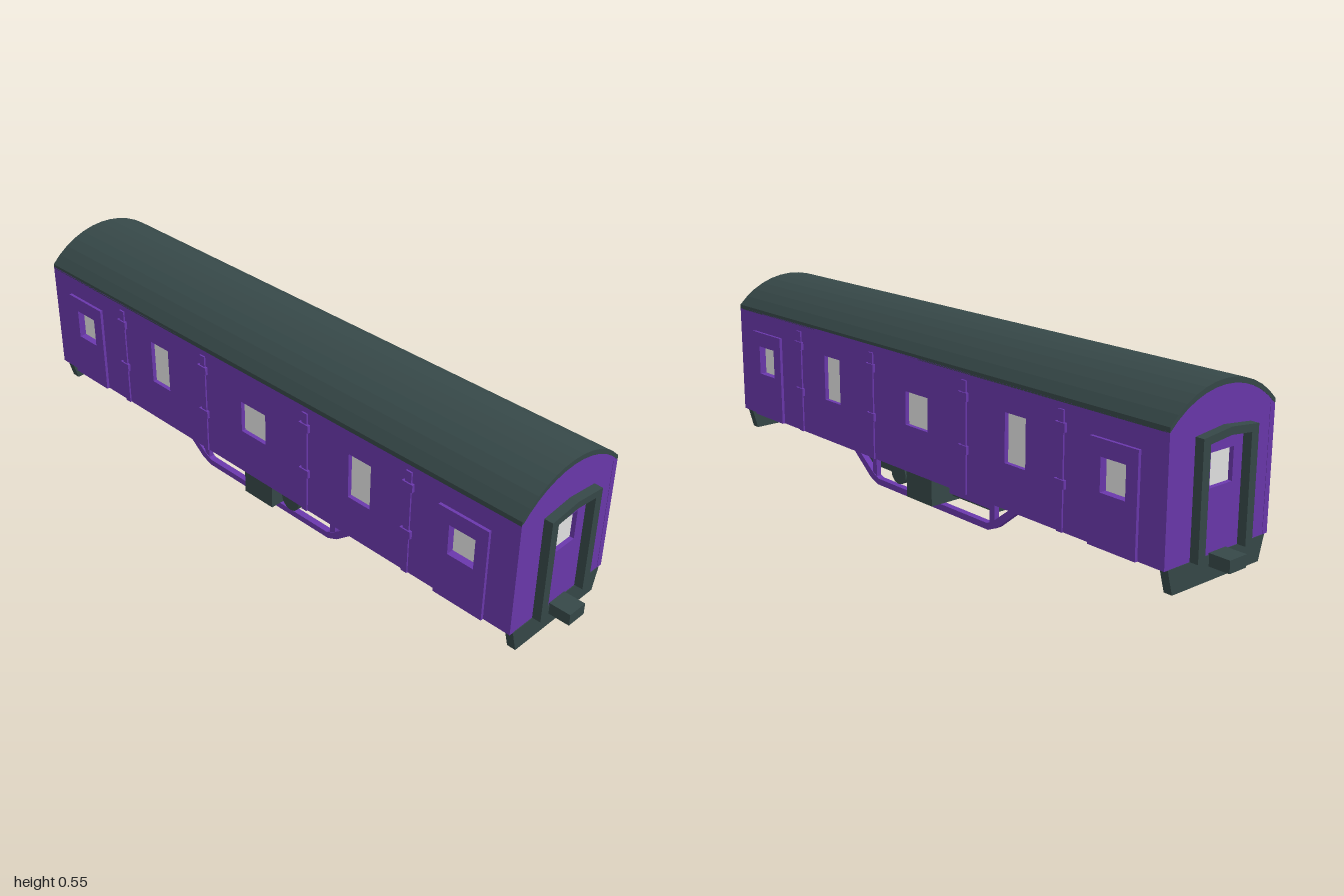
import * as THREE from 'three';

const mat = (name, color) => new THREE.MeshStandardMaterial({ name, color });

export function createModel() {
  const purple = mat('purplePaint', 0x6a38ac);
  const dark = mat('darkSlate', 0x364848);
  const pale = mat('paleGlass', 0xe4e4e4);
  const model = new THREE.Group();
  model.name = 'railwayCarriage';
  const car = new THREE.Group();
  car.name = 'carriage';
  car.position.x = -0.003;
  model.add(car);

  const add = (parent, name, geo, material, x = 0, y = 0, z = 0) => {
    const m = new THREE.Mesh(geo, material);
    m.name = name;
    m.position.set(x, y, z);
    parent.add(m);
    return m;
  };
  // box given by its limits on each axis
  const box = (parent, name, material, x0, x1, y0, y1, z0, z1) =>
    add(parent, name, new THREE.BoxGeometry(x1 - x0, y1 - y0, z1 - z0), material,
      (x0 + x1) / 2, (y0 + y1) / 2, (z0 + z1) / 2);
  const poly = (pts) => new THREE.Shape(pts.map(([x, y]) => new THREE.Vector2(x, y)));
  const rect = (x0, x1, y0, y1) => poly([[x0, y0], [x1, y0], [x1, y1], [x0, y1]]);
  const plate = (shape, depth) =>
    new THREE.ExtrudeGeometry(shape, { depth, bevelEnabled: false });

  const W = 0.196, L = 0.935, FLOOR = 0.105;

  // points of a circular arc through the eaves and the crown
  const arc = (half, eave, crown, n = 12) => {
    const h = crown - eave, r = (half * half + h * h) / (2 * h);
    return Array.from({ length: n + 1 }, (_, i) => {
      const a = Math.asin(half / r) * (1 - 2 * i / n);
      return [r * Math.sin(a), crown - r + r * Math.cos(a)];
    });
  };

  // curved roof slab
  const roofShape = poly([...arc(W, 0.461, 0.545), ...arc(W, 0.447, 0.53).reverse()]);
  add(car, 'roof', plate(roofShape, 2 * L), dark, 0, 0, -L);
  box(car, 'floor', dark, -W + 0.002, W - 0.002, FLOOR - 0.001, FLOOR + 0.01, -L + 0.002, L - 0.002);

  // side walls: local x runs along the carriage, local z points outward
  const windows = [
    [-0.77, 0.042, 0.25, 0.342], [0.77, 0.042, 0.25, 0.342],
    [-0.413, 0.04, 0.235, 0.375], [0.413, 0.04, 0.235, 0.375],
    [0, 0.05, 0.245, 0.345],
  ];
  for (const s of [1, -1]) {
    const side = new THREE.Group();
    side.name = s > 0 ? 'leftSide' : 'rightSide';
    side.rotation.y = s * Math.PI / 2;
    car.add(side);
    const wall = rect(-L, L, FLOOR, 0.452);
    for (const [c, h, y0, y1] of windows) {
      wall.holes.push(rect(c - h, c + h, y0, y1));
      box(side, 'windowPane', pale, c - h - 0.004, c + h + 0.004, y0 - 0.004, y1 + 0.004, W - 0.02, W - 0.013);
    }
    add(side, 'sideWall', plate(wall, 0.018), purple, 0, 0, W - 0.018);
    // doors
    for (const c of [-0.77, 0.77]) {
      const door = rect(c - 0.08, c + 0.08, FLOOR, 0.388);
      door.holes.push(rect(c - 0.042, c + 0.042, 0.25, 0.342));
      add(side, 'sideDoor', plate(door, 0.009), purple, 0, 0, W);
    }
    // upright ribs with collars
    for (const c of [-0.585, -0.21, 0.21, 0.585]) {
      box(side, 'rib', purple, c - 0.01, c + 0.01, FLOOR, 0.43, W - 0.005, W + 0.005);
      for (const y of [0.235, 0.385])
        box(side, 'ribCollar', purple, c - 0.018, c + 0.018, y - 0.012, y + 0.012, W - 0.005, W + 0.009);
    }
  }

  // end walls, gangways and buffer gear: local z points outward
  for (const s of [1, -1]) {
    const end = new THREE.Group();
    end.name = s > 0 ? 'frontEnd' : 'backEnd';
    end.rotation.y = s > 0 ? 0 : Math.PI;
    car.add(end);
    const wall = poly([[-W, FLOOR], [W, FLOOR], ...arc(W, 0.449, 0.532)]);
    wall.holes.push(rect(-0.043, 0.043, 0.278, 0.368));
    add(end, 'endWall', plate(wall, 0.018), purple, 0, 0, L - 0.019);
    box(end, 'endWindowPane', pale, -0.047, 0.047, 0.274, 0.372, L - 0.022, L - 0.014);
    // gangway frame with a low pointed head
    const frame = poly([
      [-0.103, FLOOR], [-0.077, FLOOR], [-0.077, 0.402], [0, 0.41], [0.077, 0.402],
      [0.077, FLOOR], [0.103, FLOOR], [0.103, 0.42], [0, 0.431], [-0.103, 0.42]]);
    add(end, 'gangwayFrame', plate(frame, 0.027), dark, 0, 0, L - 0.002);
    // tapered buffer beam
    const beam = poly([[-0.165, 0.036], [0.165, 0.036], [0.184, FLOOR], [-0.184, FLOOR]]);
    add(end, 'bufferBeam', plate(beam, 0.026), dark, 0, 0, 0.91);
    // coupler, wedge-shaped toward the middle of the carriage
    const coupler = poly([[-1, 0.075], [-0.87, 0.075], [-0.81, 0.105], [-0.93, 0.11], [-1, 0.11]]);
    add(end, 'coupler', plate(coupler, 0.064), dark, -0.032).rotation.y = Math.PI / 2;
  }

  // underfloor equipment
  const under = new THREE.Group();
  under.name = 'underfloor';
  car.add(under);
  box(under, 'mainTank', dark, -0.11, 0.11, 0.038, FLOOR, -0.245, 0.4);
  box(under, 'batteryBox', dark, -0.184, 0.187, 0.022, FLOOR, -0.055, 0.06);
  for (const s of [1, -1]) {
    box(under, 'equipmentCase', purple, Math.min(s * 0.1, s * 0.125), Math.max(s * 0.1, s * 0.125),
      0.05, 0.1, -0.24, -0.06);
    add(under, 'airCylinder', new THREE.CylinderGeometry(0.034, 0.034, 0.06, 12), dark, s * 0.14, 0.074, 0.122)
      .rotation.z = Math.PI / 2;
  }

  // truss rods with square section, and their struts
  const rod = [[0.41, 0.115], [0.275, 0.021], [-0.275, 0.021], [-0.41, 0.115],
    [-0.38, 0.115], [-0.262, 0.034], [-0.262, 0.034]];
  const outline = [[0.41, 0.112], [0.29, 0.015], [0.255, 0], [-0.255, 0], [-0.29, 0.015], [-0.41, 0.112],
    [-0.38, 0.112], [-0.275, 0.031], [-0.25, 0.019], [0.25, 0.019], [0.275, 0.031], [0.38, 0.112]];
  for (const s of [1, -1]) {
    add(under, 'trussRod', plate(poly(outline), 0.02), purple, s * 0.139 - 0.01)
      .rotation.y = Math.PI / 2;
    for (const z of [-0.27, 0.27])
      box(under, 'trussStrut', purple, s * 0.139 - 0.008, s * 0.139 + 0.008, 0.015, FLOOR, z - 0.01, z + 0.01);
  }
  return model;
}
